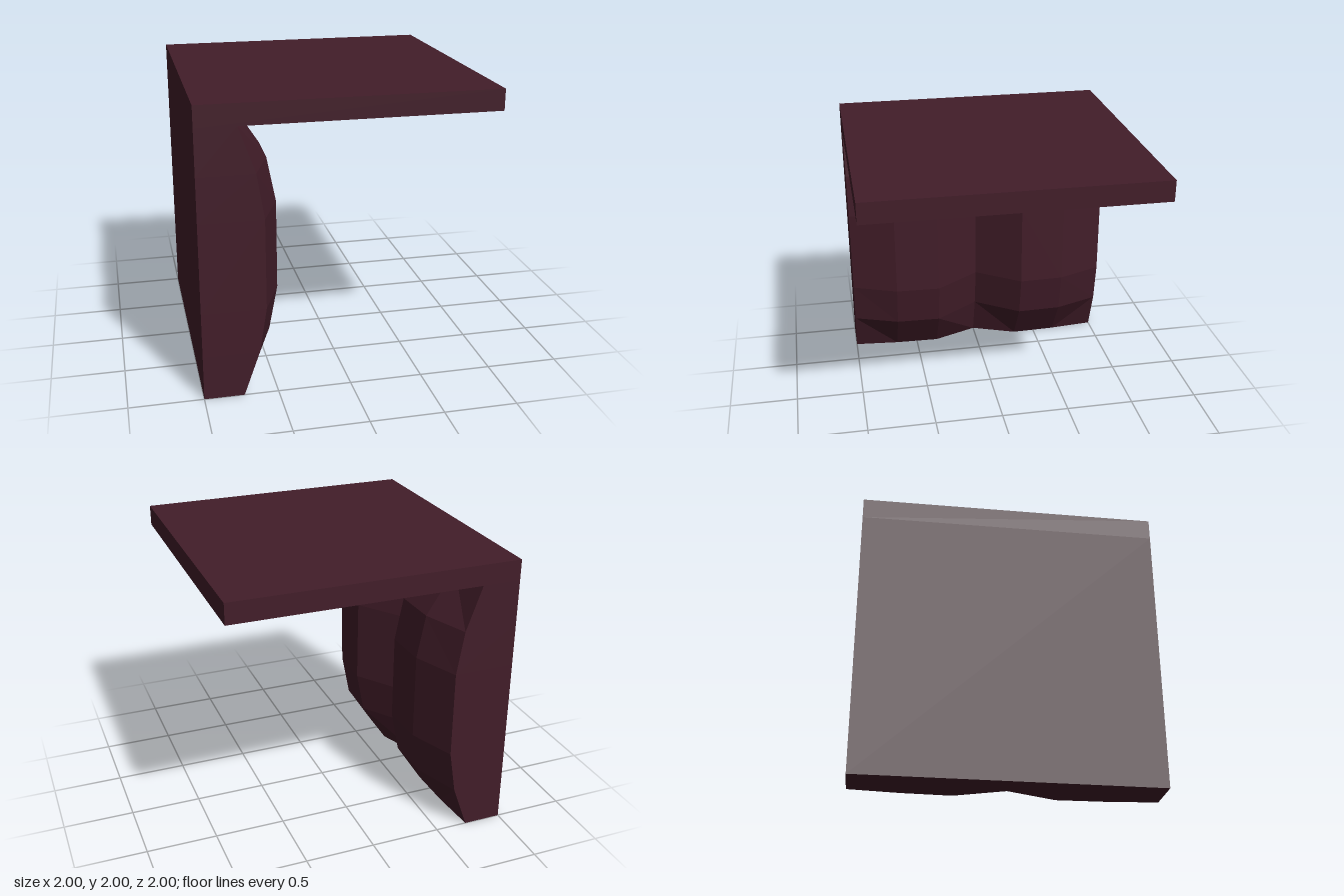
import * as THREE from 'three';

// Flat-shaded mesh from a list of counter-clockwise quads; each is cut from its first to its third corner
function quadMesh(name, quads, material) {
  const pos = [];
  for (const [a, b, c, d] of quads) pos.push(...a, ...b, ...c, ...a, ...c, ...d);
  const geo = new THREE.BufferGeometry();
  geo.setAttribute('position', new THREE.Float32BufferAttribute(pos, 3));
  geo.computeVertexNormals();
  const mesh = new THREE.Mesh(geo, material);
  mesh.name = name;
  return mesh;
}

const SLAB_BOTTOM = 1.855;

// Upright wall with two padded bulges facing +x
function paddedWall(material) {
  const zs = [1, 0.667, 0.333, 0, -0.333, -0.667, -1];
  const ys = [0, 0.31, 0.618, 1.237, 1.545, SLAB_BOTTOM];
  // Depth at the outer edge, crown side, crown and valley, by height row
  const rows = [
    [0.27, 0.30, 0.31, 0.18],
    [0.38, 0.50, 0.51, 0.28],
    [0.43, 0.56, 0.57, 0.34],
  ];
  const front = (i, j) => [-1 + rows[Math.min(j, 5 - j)][Math.min(i, 6 - i)], ys[j], zs[i]];
  const back = (i, j) => [-1, ys[j], zs[i]];
  const quads = [];
  for (let i = 0; i < 6; i++) {
    for (let j = 0; j < 5; j++) {
      const ll = front(i, j), lr = front(i + 1, j), ur = front(i + 1, j + 1), ul = front(i, j + 1);
      quads.push(i === 5 && j === 0 ? [ll, lr, ur, ul] : [lr, ur, ul, ll]);
    }
    // Underside
    quads.push([back(i, 0), back(i + 1, 0), front(i + 1, 0), front(i, 0)]);
  }
  // End faces
  for (let j = 0; j < 5; j++) {
    quads.push([back(0, j), front(0, j), front(0, j + 1), back(0, j + 1)]);
    quads.push([front(6, j), back(6, j), back(6, j + 1), front(6, j + 1)]);
  }
  quads.push([back(6, 0), back(0, 0), back(0, 5), back(6, 5)]);
  return quadMesh('paddedWall', quads, material);
}

// Flat slab whose underside is gently hollowed in two steps
function topSlab(material) {
  const ring = (x0, x1, z, y) => [[x0, y, z], [x1, y, z], [x1, y, -z], [x0, y, -z]];
  const top = ring(-1, 1, 1, 2);
  const low = ring(-1, 1, 1, SLAB_BOTTOM);
  const hollow = [
    ring(-0.69, 1, 1, SLAB_BOTTOM),
    ring(-0.59, 0.9, 0.9, SLAB_BOTTOM + 0.03),
    ring(-0.4, 0.68, 0.68, SLAB_BOTTOM + 0.05),
  ];
  const quads = [top, [...hollow[2]].reverse()];
  // Level strip where the slab meets the wall
  quads.push(ring(-0.83, -0.69, 1, SLAB_BOTTOM).reverse());
  for (let k = 0; k < 4; k++) {
    const n = (k + 1) % 4;
    quads.push([low[k], low[n], top[n], top[k]]);
    for (let r = 0; r < 2; r++) {
      quads.push([hollow[r + 1][k], hollow[r + 1][n], hollow[r][n], hollow[r][k]]);
    }
  }
  return quadMesh('topSlab', quads, material);
}

export function createModel() {
  const maroon = new THREE.MeshStandardMaterial({ color: 0x421d29 });
  maroon.name = 'darkMaroon';
  const group = new THREE.Group();
  group.name = 'paddedShelf';
  group.add(paddedWall(maroon), topSlab(maroon));
  return group;
}
